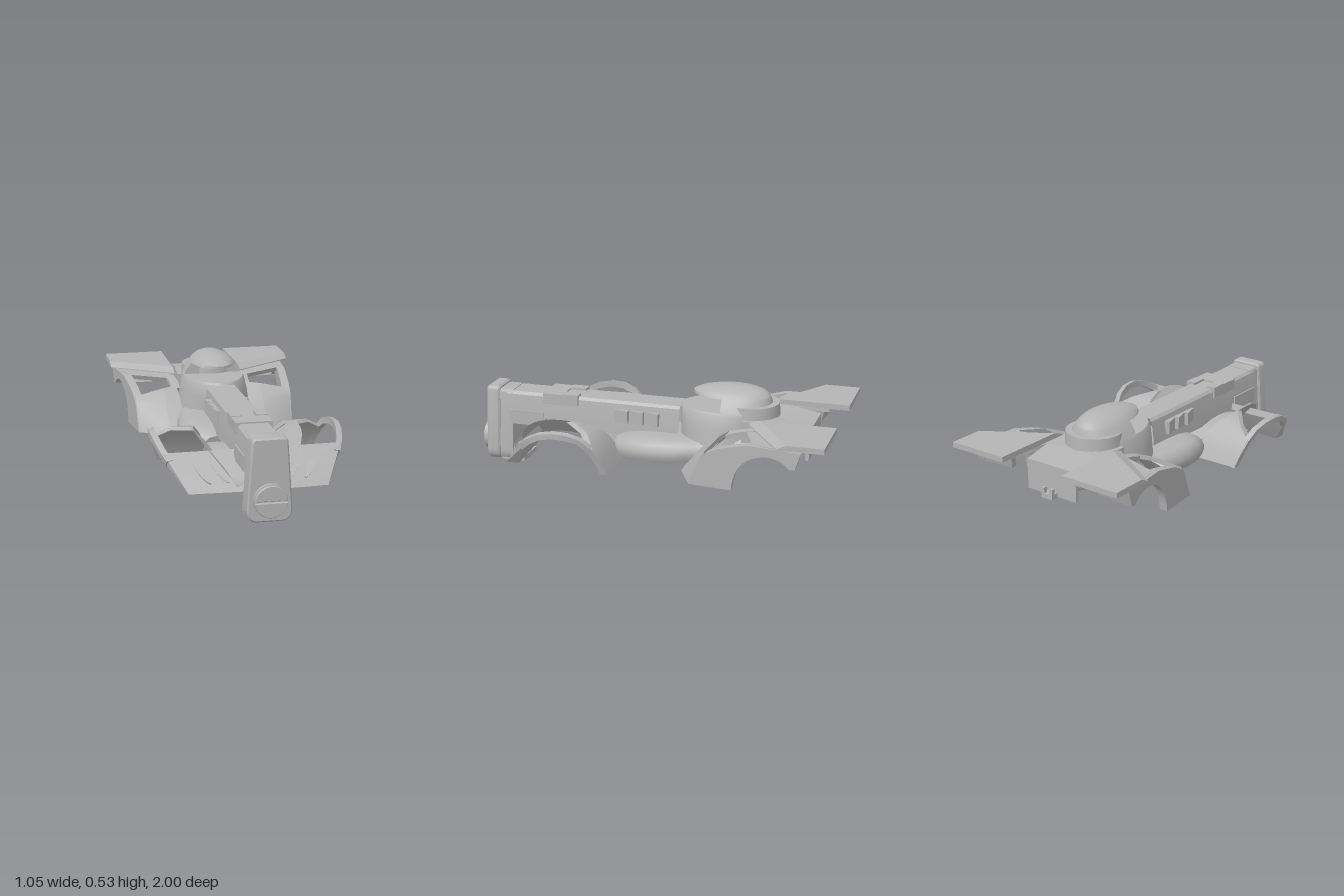
import * as THREE from 'three';
import { toCreasedNormals } from 'three/addons/utils/BufferGeometryUtils.js';

const grey = new THREE.MeshStandardMaterial({ color: 0xb4b4b4, side: THREE.DoubleSide });
grey.name = 'bodyGrey';

function add(group, name, geo, crease = 0.6) {
  const mesh = new THREE.Mesh(toCreasedNormals(geo, crease), grey);
  mesh.name = name;
  group.add(mesh);
  return mesh;
}

const box = (x0, x1, y0, y1, z0, z1) =>
  new THREE.BoxGeometry(x1 - x0, y1 - y0, z1 - z0)
    .translate((x0 + x1) / 2, (y0 + y1) / 2, (z0 + z1) / 2);

// Skin over a row of equal-length sections; optional wrap and end caps
function loft(rows, wrap = true, capA = false, capB = false) {
  const n = rows[0].length, pos = rows.flat(2), idx = [];
  for (let r = 0; r < rows.length - 1; r++)
    for (let i = 0; i < (wrap ? n : n - 1); i++) {
      const a = r * n + i, b = r * n + (i + 1) % n;
      idx.push(a, b, b + n, a, b + n, a + n);
    }
  const cap = (r, flip) => {
    const c = [0, 1, 2].map(k => rows[r].reduce((s, p) => s + p[k], 0) / n);
    const ci = pos.length / 3;
    pos.push(...c);
    for (let i = 0; i < n; i++) {
      const a = r * n + i, b = r * n + (i + 1) % n;
      idx.push(ci, flip ? a : b, flip ? b : a);
    }
  };
  if (capA) cap(0, false);
  if (capB) cap(rows.length - 1, true);
  const g = new THREE.BufferGeometry();
  g.setAttribute('position', new THREE.Float32BufferAttribute(pos, 3));
  g.setIndex(idx);
  return g;
}

// Thick sheet between two rails; one offset for all points, or one per point
function strip(railA, railB, ...offs) {
  return loft(railA.map((a, i) => {
    const off = offs[Math.min(i, offs.length - 1)], sh = p => p.map((v, k) => v + off[k]);
    return [a, railB[i], sh(railB[i]), sh(a)];
  }), true, true, true);
}

// Left-right symmetrical section from half of its points
const mirrored = (half, z) =>
  [...half.map(([x, y]) => [x, y, z]), ...half.slice().reverse().map(([x, y]) => [-x, y, z])];

// Horizontal oval at height y
function oval(y, rx, zFront, zBack, n = 36) {
  return Array.from({ length: n }, (_, i) => {
    const t = i / n * Math.PI * 2;
    return [rx * Math.cos(t), y, (zFront + zBack) / 2 + (zFront - zBack) / 2 * Math.sin(t)];
  });
}

function noseShape(s) {
  const p = new THREE.Shape(), w = 0.105 * s;
  p.moveTo(-0.065, 0.008);
  p.lineTo(0.065, 0.008);
  p.quadraticCurveTo(w, 0.012, w, 0.065);
  p.lineTo(0.082 * s, 0.395);
  p.quadraticCurveTo(0.08 * s, 0.412, 0.065, 0.412);
  p.lineTo(-0.065, 0.412);
  p.quadraticCurveTo(-0.08 * s, 0.412, -0.082 * s, 0.395);
  p.lineTo(-w, 0.065);
  p.quadraticCurveTo(-w, 0.012, -0.065, 0.008);
  return p;
}

function buildNose(g) {
  add(g, 'nosePlate', new THREE.ExtrudeGeometry(noseShape(1), {
    depth: 0.055, bevelSize: 0.008, bevelThickness: 0.01, bevelSegments: 1 }).translate(0, 0, 0.9));
  add(g, 'noseBack', new THREE.ExtrudeGeometry(noseShape(0.96), {
    depth: 0.08, bevelEnabled: false }).translate(0, -0.008, 0.815));
  // Foot sweeping back at the bottom of the nose
  const foot = new THREE.Shape();
  foot.moveTo(-0.89, 0); foot.lineTo(-0.755, 0); foot.lineTo(-0.755, 0.025);
  foot.quadraticCurveTo(-0.81, 0.04, -0.82, 0.13); foot.lineTo(-0.89, 0.13);
  add(g, 'noseFoot', new THREE.ExtrudeGeometry(foot, { depth: 0.18, bevelEnabled: false })
    .rotateY(Math.PI / 2).translate(-0.09, 0, 0));
  // Round lamp split by a groove
  add(g, 'lampBase', new THREE.CylinderGeometry(0.085, 0.085, 0.02, 40).rotateX(Math.PI / 2).translate(0, 0.112, 0.975));
  for (const [name, a] of [['lampUpper', 0], ['lampLower', Math.PI]]) {
    const half = new THREE.Shape();
    half.absarc(0, 0, 0.078, a + 0.09, a + Math.PI - 0.09);
    add(g, name, new THREE.ExtrudeGeometry(half, { depth: 0.012, bevelSize: 0.003, bevelThickness: 0.004,
      bevelSegments: 1, curveSegments: 24 }).translate(0, 0.112, 0.984));
  }
}

function buildSpine(g) {
  const half = [[0.1, 0.22], [0.095, 0.3], [0.083, 0.385], [0.07, 0.4]];
  add(g, 'spine', loft([mirrored(half, -0.14), mirrored(half, 0.85)], false), 0.3);
  // Saddle with a notch at its rear
  add(g, 'saddle', box(-0.095, 0.095, 0.35, 0.408, 0.52, 0.63));
  for (const s of [-1, 1])
    add(g, 'saddleArm', box(Math.min(s * 0.04, s * 0.095), Math.max(s * 0.04, s * 0.095), 0.35, 0.412, 0.43, 0.52));
}

function buildBody(g) {
  // Rounded centre pod, open underneath: z, half width, top, bottom
  const stations = [[0.2, 0.17, 0.215, 0.14], [0.16, 0.215, 0.235, 0.135], [0.08, 0.248, 0.25, 0.135],
    [-0.03, 0.26, 0.255, 0.135], [-0.13, 0.252, 0.255, 0.135], [-0.22, 0.232, 0.255, 0.145],
    [-0.32, 0.2, 0.26, 0.15], [-0.5, 0.185, 0.3, 0.2], [-0.83, 0.15, 0.34, 0.25]];
  add(g, 'centrePod', loft(stations.map(([z, w, top, low]) => mirrored([[w * 0.94, low], [w, low + 0.03],
    [w, low + 0.055], [w * 0.94, top - 0.025], [w * 0.82, top - 0.006], [w * 0.6, top]], z)), false), 0.9);

  // Floor between the front wheels, its sides flaring up to the arch tops
  const floor = [];
  for (let i = 0; i <= 20; i++) {
    const t = -Math.PI / 2 + i / 20 * Math.PI, w = Math.cos(t);
    floor.push(mirrored([[0.1 + 0.175 * w, 0.105 + 0.225 * w], [0.1 + 0.09 * w, 0.095 + 0.145 * w]],
      0.46 + 0.29 * Math.sin(t)));
  }
  add(g, 'archFloor', loft(floor, false), 0.5);

  // Cabin wall, rim and canopy with an open windscreen
  add(g, 'cabin', loft([oval(0.24, 0.2, -0.135, -0.6), oval(0.33, 0.187, -0.13, -0.62),
    oval(0.4, 0.172, -0.13, -0.64), oval(0.413, 0.165, -0.14, -0.64)], true, false, true));
  add(g, 'canopyRoof', loft([oval(0.476, 0.124, -0.2, -0.615), oval(0.49, 0.114, -0.2, -0.607),
    oval(0.508, 0.092, -0.24, -0.58), oval(0.522, 0.062, -0.3, -0.54), oval(0.53, 0.03, -0.36, -0.48)], true, true, true), 0.7);
  const dShape = (y, rx, zb) => Array.from({ length: 25 }, (_, i) => {
    const t = i / 24 * Math.PI;
    return [rx * Math.cos(t), y, -0.38 + (zb + 0.38) * Math.pow(Math.sin(t), 0.75)];
  });
  add(g, 'canopyBack', loft([dShape(0.405, 0.165, -0.63), dShape(0.44, 0.15, -0.626), dShape(0.478, 0.121, -0.612)], true, true, true), 0.7);
  add(g, 'rearCollar', new THREE.CylinderGeometry(0.15, 0.155, 0.07, 36).translate(0, 0.41, -0.51));

  // Tail deck sloping to the rear, open underneath, with a back plate and tow hook
  const deck = (y, drop) => mirrored([[0.18, -0.5], [0.178, -0.55], [0.165, -0.69], [0.155, -0.855]], 0)
    .map(([x, z], i) => [x, y - (i === 3 || i === 4 ? drop : 0), z]);
  add(g, 'tailDeck', loft([deck(0.27, 0), deck(0.385, 0.025)], true, false, true), 0.1);
  add(g, 'tailPlate', box(-0.155, 0.155, 0.2, 0.36, -0.855, -0.835));
  add(g, 'hookBase', box(-0.035, 0.035, 0.195, 0.22, -0.895, -0.82));
  for (const x of [-0.035, 0.015]) add(g, 'hookProng', box(x, x + 0.02, 0.195, 0.25, -0.895, -0.875));
}

function buildFrontFender(g) {
  // Sloping front panel
  add(g, 'frontPanel', strip([[0, 0.095, 0.77], [0, 0.268, 0.61]],
    [[0.355, 0.092, 0.745], [0.455, 0.268, 0.61]], [0, 0, -0.07], [0, -0.035, -0.01]), 0.3);
  // Oval inlays
  for (const x of [0.19, 0.28]) {
    const slot = add(g, 'slotInlay', new THREE.CylinderGeometry(1, 1, 0.009, 28).scale(0.018, 1, 0.078).rotateY(-0.55));
    slot.position.set(x, 0.182, 0.693 - 0.035 * x);
    slot.rotation.x = 0.824;
  }
  // Curved outer band over the wheel
  const arch = [[0.64, 0.24, 0.445], [0.58, 0.283, 0.472], [0.51, 0.318, 0.488], [0.43, 0.334, 0.495], [0.35, 0.33, 0.491],
    [0.28, 0.305, 0.477], [0.22, 0.25, 0.458], [0.18, 0.18, 0.438], [0.15, 0.11, 0.42]];
  add(g, 'outerBand', loft(arch.map(([z, y, x], i) => {
    const back = i / 8, dz = 0.07 * (back - 0.35), dy = -0.035 * Math.min(1, 2 * (1 - back));
    return [[x - 0.03, y, z], [x, y - 0.006, z], [x, y + dy, z + dz], [x - 0.03, y + dy, z + dz]];
  }), true, true, true), 0.5);
  // Rear panel narrowing to a strut beside the flared floor
  add(g, 'rearArchPanel', strip(
    [[0.265, 0.327, 0.39], [0.24, 0.305, 0.28], [0.2, 0.25, 0.22], [0.17, 0.18, 0.18], [0.18, 0.11, 0.15]],
    [[0.28, 0.33, 0.39], [0.365, 0.305, 0.28], [0.455, 0.25, 0.22], [0.438, 0.18, 0.18], [0.42, 0.11, 0.15]],
    [0, -0.008, 0.035]));
}

function buildRearFender(g) {
  // Outer wall with the wheel arch cut out, flaring towards the rear
  const w = new THREE.Shape();
  w.moveTo(0.29, 0.115); w.lineTo(0.35, 0.265); w.quadraticCurveTo(0.4, 0.32, 0.52, 0.345);
  w.lineTo(0.6, 0.365); w.lineTo(0.88, 0.36); w.lineTo(0.85, 0.27); w.lineTo(0.82, 0.27);
  w.quadraticCurveTo(0.78, 0.318, 0.7, 0.318);
  w.quadraticCurveTo(0.55, 0.3, 0.525, 0.15); w.lineTo(0.52, 0.115);
  const wall = new THREE.ExtrudeGeometry(w, { depth: 0.045, bevelEnabled: false, curveSegments: 10 }).rotateY(Math.PI / 2);
  const p = wall.attributes.position;
  for (let i = 0; i < p.count; i++)
    p.setX(i, p.getX(i) + 0.395 + (-0.29 - p.getZ(i)) * 0.105);
  add(g, 'rearWall', wall);
  // Front panel in two facets, the outer one swept back
  const inner = [[0.19, 0.115, -0.2], [0.19, 0.26, -0.32], [0.2, 0.335, -0.44]];
  const middle = [[0.27, 0.115, -0.205], [0.28, 0.26, -0.32], [0.28, 0.33, -0.41]];
  const outer = [[0.435, 0.115, -0.29], [0.44, 0.265, -0.35], [0.445, 0.3, -0.375]];
  const back = [0, -0.01, -0.045];
  add(g, 'rearFrontPanel', strip(inner, middle, [0, 0, -0.05], back, [0, -0.025, 0]));
  add(g, 'rearFrontCorner', strip(middle, outer, [0, 0, -0.05], back, [0, -0.025, 0]));
  const down = [0, -0.025, -0.012];
  add(g, 'rearInnerRail', strip(
    [[0.18, 0.325, -0.42], [0.18, 0.345, -0.5], [0.19, 0.362, -0.58]],
    [[0.225, 0.32, -0.42], [0.23, 0.345, -0.5], [0.24, 0.362, -0.58]], down));
  add(g, 'rearTopPanel', strip(
    [[0.2, 0.352, -0.53], [0.2, 0.365, -0.68], [0.26, 0.362, -0.87]],
    [[0.44, 0.365, -0.62], [0.47, 0.366, -0.7], [0.48, 0.362, -0.87]], down));
  add(g, 'rearLip', strip(
    [[0.26, 0.362, -0.86], [0.28, 0.27, -0.835]], [[0.48, 0.362, -0.88], [0.48, 0.27, -0.85]], [0, 0, 0.03]));
}

function buildWing(g) {
  // Slab with a bevelled slanting leading edge
  const outline = (y, cut) => [[0.19, y, -1], [0.525, y, -1], [0.525, y, -0.76 - cut], [0.19, y, -0.54 - cut * 1.3]];
  add(g, 'wing', loft([outline(0.376, 0), outline(0.381, 0), outline(0.405, 0.05)], true, true, true), 0.2);
}

function buildVents(g) {
  // Three wedge vents, widest at the rear
  for (const z of [0.14, 0.055, -0.03]) {
    const s = new THREE.Shape();
    s.moveTo(0.07, -z); s.lineTo(0.12, -z); s.lineTo(0.1, -z - 0.08); s.lineTo(0.07, -z - 0.08);
    add(g, 'ventWedge', new THREE.ExtrudeGeometry(s, { depth: 0.07, bevelEnabled: false })
      .rotateX(-Math.PI / 2).translate(0, 0.287, 0));
  }
  add(g, 'spineSidePanel', box(0.085, 0.102, 0.22, 0.3, 0.63, 0.83));
}

export function createModel() {
  const model = new THREE.Group();
  model.name = 'racer';
  buildNose(model);
  buildSpine(model);
  buildBody(model);
  for (const [side, s] of [['left', 1], ['right', -1]])
    for (const [name, build] of [['FrontFender', buildFrontFender], ['RearFender', buildRearFender],
      ['Wing', buildWing], ['Vents', buildVents]]) {
      const g = new THREE.Group();
      g.name = side + name;
      build(g);
      g.scale.x = s;
      model.add(g);
    }
  return model;
}
